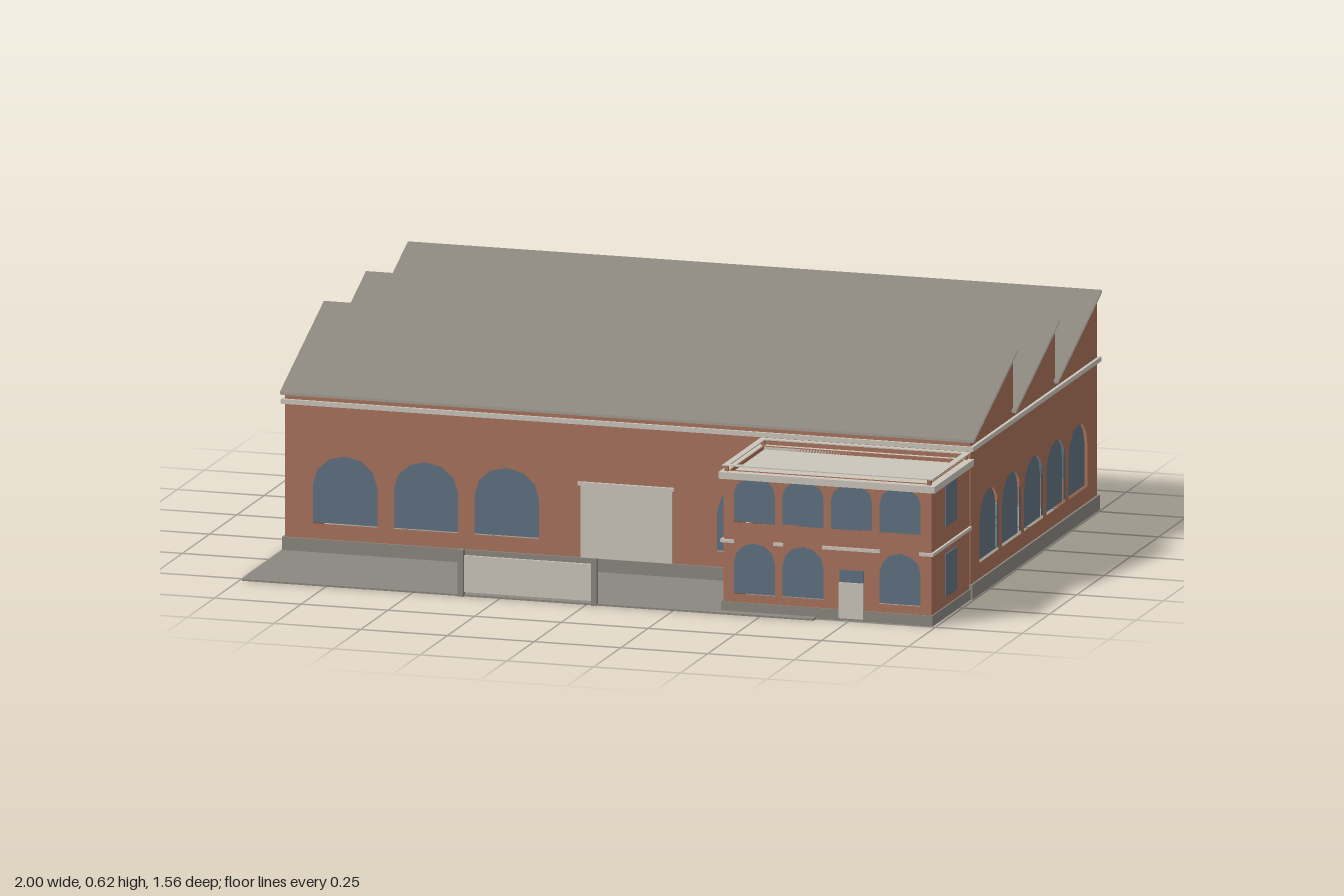
import * as THREE from 'three';

const mat = (name, color, side = THREE.FrontSide) => {
  const m = new THREE.MeshStandardMaterial({ color, side });
  m.name = name;
  return m;
};

export function createModel() {
  const model = new THREE.Group();
  model.name = 'factory';
  const brick = mat('brick', 0xa9725b, THREE.DoubleSide);
  const glass = mat('glass', 0x5f7181, THREE.DoubleSide);
  const stone = mat('stone', 0xcbc6bb);
  const roofing = mat('roofing', 0x8b867e);
  const concrete = mat('concrete', 0x8b8780);

  const add = (parent, name, geo, material) => {
    const mesh = new THREE.Mesh(geo, material);
    mesh.name = name;
    parent.add(mesh);
    return mesh;
  };

  // Box given by its two extreme corners
  const block = (name, material, x0, x1, y0, y1, z0, z1) => {
    const m = add(model, name, new THREE.BoxGeometry(x1 - x0, y1 - y0, z1 - z0), material);
    m.position.set((x0 + x1) / 2, (y0 + y1) / 2, (z0 + z1) / 2);
    return m;
  };

  // Rectangular frame of four strips, t wide
  const ring = (name, material, x0, x1, z0, z1, y0, y1, t) => {
    block(name, material, x0, x1, y0, y1, z1 - t, z1);
    block(name, material, x0, x1, y0, y1, z0, z0 + t);
    block(name, material, x0, x0 + t, y0, y1, z0 + t, z1 - t);
    block(name, material, x1 - t, x1, y0, y1, z0 + t, z1 - t);
  };

  // Arched outline with a faceted head
  const arch = ({ cx, y0, w, h, rise }) => {
    const pts = [new THREE.Vector2(cx - w / 2, y0), new THREE.Vector2(cx + w / 2, y0)];
    for (let i = 0; i <= 6; i++) {
      const a = (i / 6) * Math.PI;
      pts.push(new THREE.Vector2(cx + (Math.cos(a) * w) / 2, y0 + h - rise + Math.sin(a) * rise));
    }
    return pts;
  };
  const rect = (x0, x1, y0, y1) =>
    [[x0, y0], [x1, y0], [x1, y1], [x0, y1]].map(p => new THREE.Vector2(...p));

  // Thin wall with arched openings; slightly wider panes sit behind it
  const wall = (name, outline, windows, recess, otherHoles = []) => {
    const g = new THREE.Group();
    g.name = name;
    const shape = new THREE.Shape(outline);
    for (const h of [...windows.map(arch), ...otherHoles]) shape.holes.push(new THREE.Path(h));
    add(g, name + 'Brick', new THREE.ShapeGeometry(shape), brick);
    for (const w of windows) {
      const pane = arch({ ...w, w: w.w + 0.016, h: w.h + 0.006 });
      add(g, 'windowPane', new THREE.ShapeGeometry(new THREE.Shape(pane)), glass).position.z = recess;
    }
    model.add(g);
    return g;
  };

  // Hall walls, front and back
  const X = 0.988, Z0 = -0.768, Z1 = 0.39, LOW = 0.445, HIGH = 0.61;
  const bays = [...Array(8).keys()].map(i => -0.815 + i * 0.2329);
  const hallArch = (cx, w) => ({ cx, y0: 0.085, w, h: 0.194, rise: 0.082 });
  const backWindows = bays.map(x => hallArch(x, 0.185));
  const frontWindows = backWindows.filter((_, i) => i !== 3 && i !== 4);
  wall('hallFront', rect(-X, X, 0, LOW), frontWindows, -0.012,
    [rect(-0.135, 0.128, 0.042, 0.25)]).position.z = Z1;
  wall('hallBack', rect(-X, X, 0, HIGH), backWindows, 0.012).position.z = Z0;

  // Sawtooth side walls
  const edges = [Z1, 0.003, -0.383, Z0];
  const profile = [new THREE.Vector2(-Z1, 0), new THREE.Vector2(-Z0, 0)];
  for (let i = 2; i >= 0; i--) {
    profile.push(new THREE.Vector2(-edges[i + 1], HIGH), new THREE.Vector2(-edges[i], LOW));
  }
  const sideWindows = [0, 1, 2, 3, 4].map(i => hallArch(-0.22 + i * 0.204, 0.176));
  for (const s of [-1, 1]) {
    const w = wall('hallSide', profile, sideWindows, -0.012 * s);
    w.rotation.y = Math.PI / 2;
    w.position.x = s * X;
  }

  // Sloping roofs, pale at the edges and below, and the upright walls between them
  const slopeMaterials = [stone, stone, roofing, stone, stone, stone];
  for (let i = 0; i < 3; i++) {
    const za = edges[i] + 0.01, zb = edges[i + 1] - 0.008;
    const ya = LOW + 0.002, yb = HIGH + 0.006;
    const slab = add(model, 'roofSlope',
      new THREE.BoxGeometry(2, 0.009, Math.hypot(za - zb, yb - ya)), slopeMaterials);
    slab.position.set(0, (ya + yb) / 2, (za + zb) / 2);
    slab.rotation.x = Math.atan2(yb - ya, za - zb);
    if (i < 2) {
      const riser = add(model, 'roofRiser', new THREE.PlaneGeometry(2 * X, HIGH - LOW), brick);
      riser.position.set(0, (LOW + HIGH) / 2, edges[i + 1]);
    }
  }

  // Hall trim and loading gate, all outside the brick
  ring('hallPlinth', concrete, -0.995, 0.995, Z0 - 0.007, Z1 + 0.007, 0, 0.042, 0.006);
  ring('hallStringCourse', stone, -0.998, 0.998, Z0 - 0.01, Z1 + 0.01, 0.418, 0.431, 0.009);
  block('loadingGate', stone, -0.135, 0.128, 0.042, 0.25, Z1 - 0.006, Z1 + 0.004);
  block('gateLintel', stone, -0.142, 0.135, 0.246, 0.256, Z1 + 0.001, Z1 + 0.01);

  // Office annex
  const A0 = 0.385, A1 = 0.985, AZ = 0.74, AH = 0.385;
  const officeBays = [0.475, 0.615, 0.755, 0.895];
  const officeWindows = officeBays.map(cx => ({ cx, y0: 0.255, w: 0.118, h: 0.129, rise: 0.045 }));
  for (const cx of officeBays) {
    if (cx !== 0.755) officeWindows.push({ cx, y0: 0.053, w: 0.118, h: 0.145, rise: 0.055 });
  }
  wall('officeFront', rect(A0, A1, 0, 0.392), officeWindows, -0.01,
    [rect(0.72, 0.79, 0.008, 0.142)]).position.z = AZ;
  for (const [x, s] of [[A0, -1], [A1, 1]]) {
    const w = wall('officeSide', rect(-AZ, -Z1, 0, AH), [], 0);
    w.rotation.y = Math.PI / 2;
    w.position.x = x;
    for (const y of [0.055, 0.253]) {
      block('officeSideWindow', glass, x + s * 0.002 - 0.002, x + s * 0.002 + 0.002,
        y, y + 0.121, 0.517, 0.617);
    }
    block('officeSideBand', stone, x - 0.007, x + 0.007, 0.197, 0.206, Z1, AZ + 0.007);
  }

  // Front band, broken by the lower window arches
  for (const [a, b] of [[A0, 0.418], [0.531, 0.559], [0.672, 0.838], [0.951, A1]]) {
    block('officeFrontBand', stone, a, b, 0.197, 0.206, AZ + 0.001, AZ + 0.007);
  }

  // Door with fanlight, standing just proud of the plinth
  block('officeDoor', stone, 0.72, 0.79, 0.006, 0.107, AZ - 0.002, AZ + 0.007);
  block('doorFanlight', glass, 0.72, 0.79, 0.107, 0.142, AZ - 0.002, AZ + 0.002);

  // Office plinth, flat roof, cornice, low parapet and coping
  ring('officePlinth', concrete, A0 - 0.005, A1 + 0.005, Z1, AZ + 0.005, 0, 0.03, 0.004);
  block('officeRoof', stone, A0 + 0.005, A1 - 0.005, 0.383, 0.388, Z1, AZ - 0.005);
  ring('officeCornice', stone, A0 - 0.01, 0.998, Z1, AZ + 0.012, 0.377, 0.396, 0.026);
  ring('officeParapet', brick, A0 + 0.012, A1 - 0.01, Z1 + 0.022, AZ - 0.012, 0.387, 0.398, 0.004);
  ring('officeCoping', stone, A0 - 0.002, A1 + 0.004, Z1, AZ + 0.004, 0.412, 0.415, 0.018);
  for (const x of [A0 + 0.008, A1 - 0.008]) {
    for (const z of [Z1 + 0.01, AZ - 0.008]) {
      block('copingPost', brick, x - 0.005, x + 0.005, 0.39, 0.412, z - 0.005, z + 0.005);
    }
  }

  // Yard with its sliding gate
  block('yard', concrete, -0.992, 0.655, 0, 0.005, Z1, 0.774);
  block('yardGate', stone, -0.36, 0.022, 0.012, 0.115, 0.766, 0.774);
  for (const x of [-0.36, 0.024]) {
    block('yardGatePost', concrete, x - 0.008, x + 0.008, 0, 0.132, 0.765, 0.781);
  }
  return model;
}
